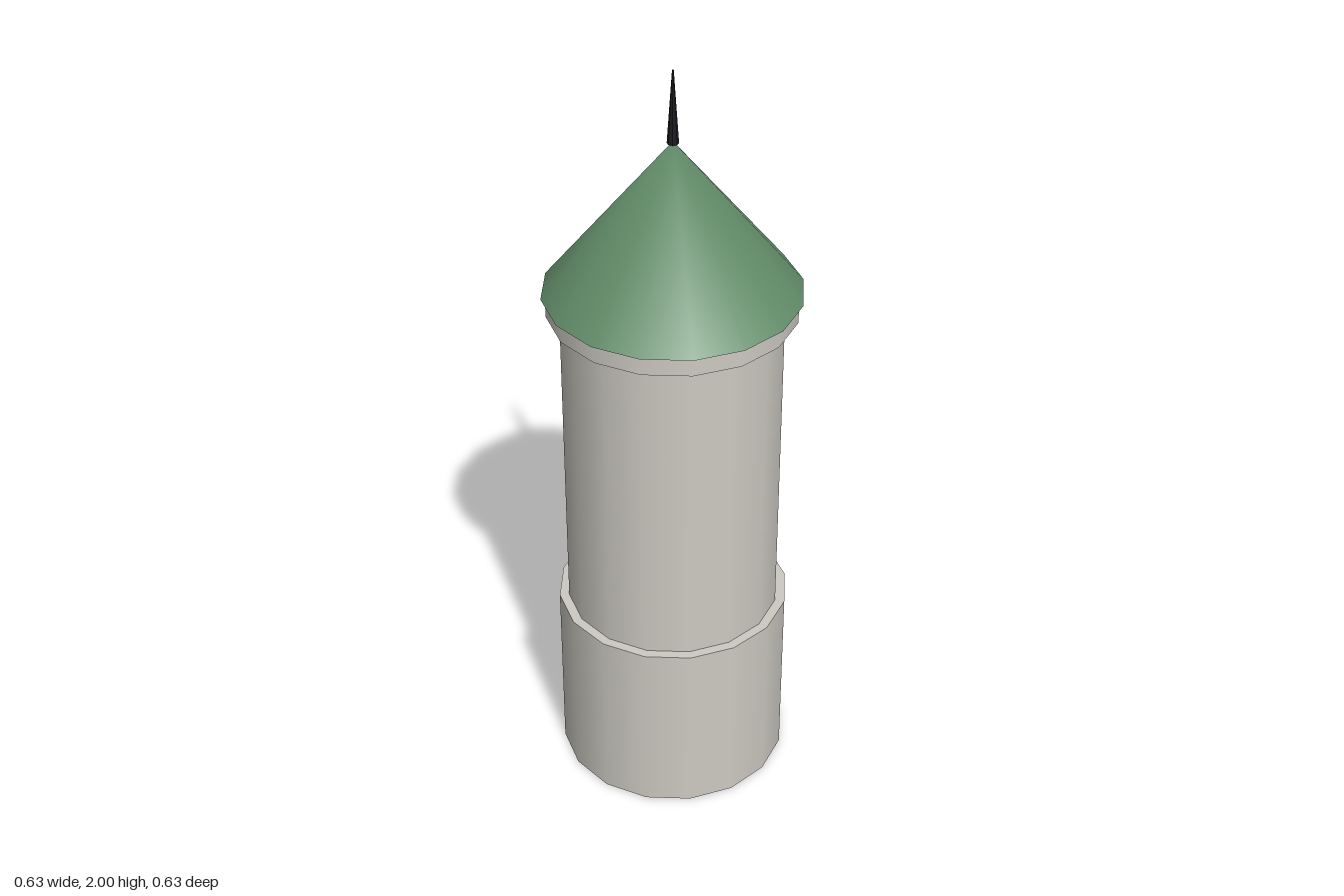
import * as THREE from 'three';
import { mergeVertices } from 'three/addons/utils/BufferGeometryUtils.js';

const SIDES = 16;
const TURN = Math.PI / SIDES; // flats face the main axes

export function createModel() {
  const group = new THREE.Group();
  const stone = new THREE.MeshStandardMaterial({ color: 0xcdcac2, side: THREE.DoubleSide });
  const green = new THREE.MeshStandardMaterial({ color: 0x628c69, side: THREE.DoubleSide });
  const iron = new THREE.MeshStandardMaterial({ color: 0x1c1c20, flatShading: true });
  stone.name = 'stone';
  green.name = 'green roofing';
  iron.name = 'dark iron';

  const add = (name, geometry, material) => {
    const mesh = new THREE.Mesh(geometry, material);
    mesh.name = name;
    group.add(mesh);
  };
  const drum = (radius, bottom, top, open) =>
    new THREE.CylinderGeometry(radius, radius, top - bottom, SIDES, 1, open, TURN)
      .translate(0, (bottom + top) / 2, 0);
  const disc = (radius, y, facing) =>
    new THREE.CircleGeometry(radius, SIDES, TURN).rotateX(-facing * Math.PI / 2).translate(0, y, 0);

  // Hollow base with a ledge on top
  add('base', drum(0.304, 0, 0.5, true), stone);
  add('baseLedge', disc(0.304, 0.5, 1), stone);

  // Shaft and cornice
  add('shaft', drum(0.279, 0.5, 1.37, true), stone);
  add('cornice', drum(0.312, 1.37, 1.418, false), stone);

  // Roof, with one shared apex so the shading rounds over the tip
  const cone = new THREE.ConeGeometry(0.323, 0.4, SIDES, 1, true, TURN).translate(0, 1.62, 0);
  cone.deleteAttribute('uv');
  cone.deleteAttribute('normal');
  const roof = mergeVertices(cone, 1e-4);
  roof.computeVertexNormals();
  add('roof', roof, green);
  add('roofUnderside', disc(0.323, 1.42, -1), green);

  // Spike at the tip
  add('finial', new THREE.CylinderGeometry(0.002, 0.0145, 0.185, 8, 1, false, Math.PI / 8)
    .translate(0, 1.9075, 0), iron);

  return group;
}
